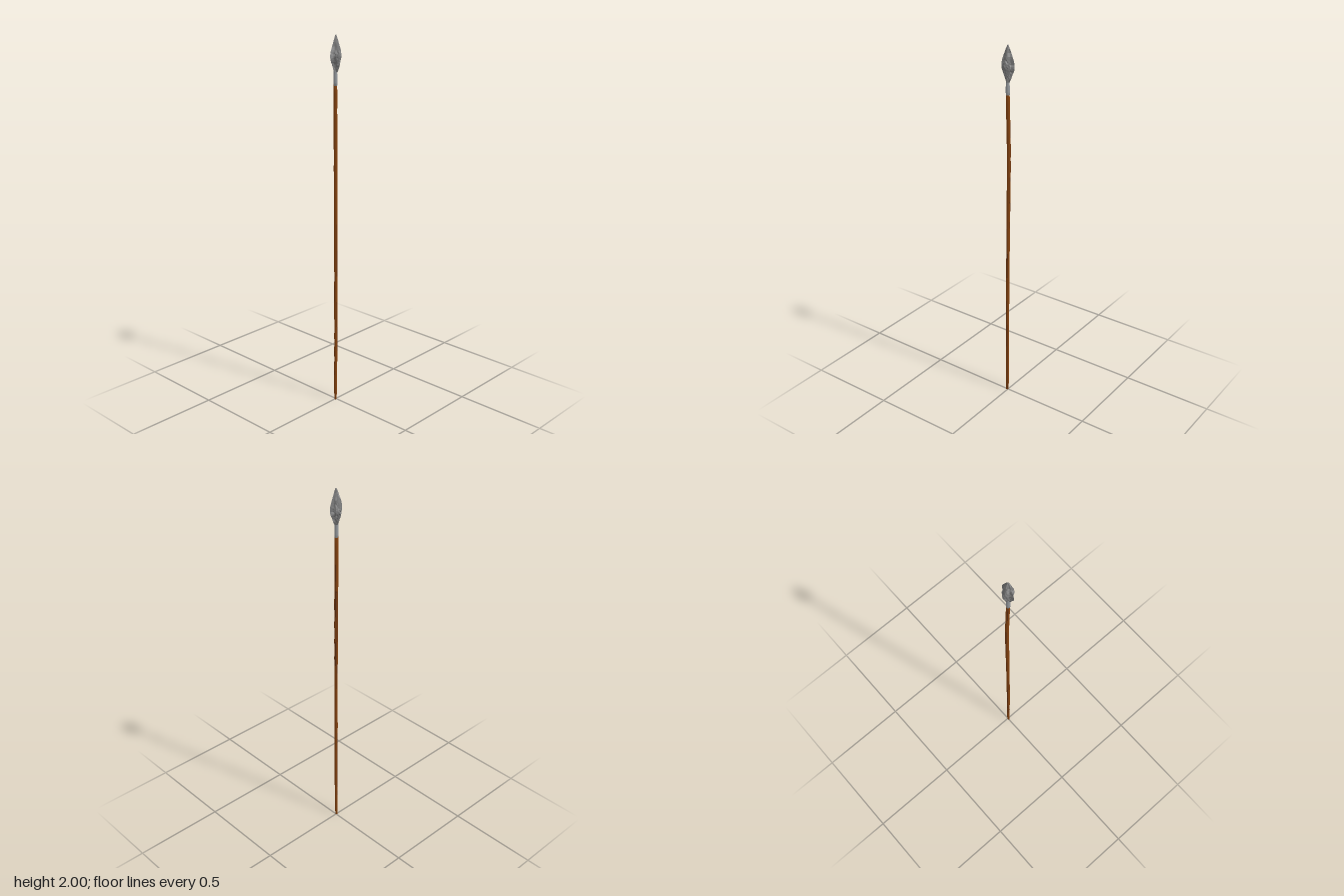
import * as THREE from 'three';

// Repeatable noise in -1..1 for chipped stone and carved wood
function noise(i, j) {
  const s = Math.sin(i * 127.1 + j * 311.7 + 4.3) * 43758.5453;
  return (s - Math.floor(s)) * 2 - 1;
}

// Linear lookup in rows of [y, v1, v2, ...]
function sample(rows, y) {
  let k = 0;
  while (k < rows.length - 2 && y > rows[k + 1][0]) k++;
  const a = rows[k], b = rows[k + 1];
  const t = THREE.MathUtils.clamp((y - a[0]) / (b[0] - a[0]), 0, 1);
  return a.map((v, i) => v + (b[i] - v) * t);
}

// Closed skin over stacked rings; point(ring, side) returns [x, y, z].
// pick(ring, side) chooses the material slot of each panel.
function loft(rings, sides, point, pick) {
  const pos = [], slots = [[], []];
  for (let i = 0; i <= rings; i++)
    for (let j = 0; j < sides; j++) pos.push(...point(i, j));
  const id = (i, j) => i * sides + (j % sides);
  for (let i = 0; i < rings; i++)
    for (let j = 0; j < sides; j++) {
      const a = id(i, j), b = id(i, j + 1), c = id(i + 1, j + 1), d = id(i + 1, j);
      slots[pick(i, j)].push(a, b, d, b, c, d);
    }
  // End caps
  for (let j = 1; j < sides - 1; j++) {
    slots[0].push(id(0, 0), id(0, j + 1), id(0, j));
    slots[0].push(id(rings, 0), id(rings, j), id(rings, j + 1));
  }
  const g = new THREE.BufferGeometry();
  g.setAttribute('position', new THREE.Float32BufferAttribute(pos, 3));
  g.setIndex([...slots[0], ...slots[1]]);
  g.addGroup(0, slots[0].length, 0);
  g.addGroup(slots[0].length, slots[1].length, 1);
  g.computeVertexNormals();
  return g;
}

function material(name, color) {
  const m = new THREE.MeshStandardMaterial({ color });
  m.name = name;
  return m;
}

export function createModel() {
  const wood = material('wood', 0x84420f);
  const darkWood = material('dark wood', 0x633010);
  const stone = material('stone', 0x7a7a7a);
  const paleStone = material('pale stone', 0x929292);
  const metal = material('socket grey', 0x969a9e);
  const model = new THREE.Group();
  model.name = 'spear';
  const add = (name, geometry, mat) => {
    const mesh = new THREE.Mesh(geometry, mat);
    mesh.name = name;
    model.add(mesh);
  };

  // Slightly crooked shaft: y, centre x, centre z, radius
  const shaftRows = [
    [0, -0.004, 0.001, 0.006], [0.04, -0.003, 0.001, 0.008], [0.4, -0.002, 0.002, 0.009],
    [0.9, 0, 0, 0.009], [1.4, 0.003, -0.004, 0.01], [1.6, 0, -0.003, 0.01], [1.755, -0.002, -0.001, 0.0095],
  ];
  const shaftRings = 36, shaftSides = 12;
  add('shaft', loft(shaftRings, shaftSides, (i, j) => {
    const y = 1.755 * i / shaftRings;
    const [, cx, cz, r0] = sample(shaftRows, y);
    const r = r0 + 0.0002 * noise(i, j);
    const a = -j / shaftSides * Math.PI * 2;
    return [
      cx + 0.0006 * noise(i, 40) + r * Math.cos(a), y,
      cz + 0.0006 * noise(i, 41) + r * Math.sin(a),
    ];
  }, (i, j) => (noise(Math.floor(i / 3) + 7, j + 3) > 0.6 ? 1 : 0)), [wood, darkWood]);

  // Socket joining shaft and head
  const socketRows = [[1.75, 0.0098], [1.78, 0.0105], [1.82, 0.009], [1.85, 0.012]];
  add('socket', loft(6, 12, (i, j) => {
    const y = 1.75 + 0.1 * i / 6;
    const r = sample(socketRows, y)[1] + 0.0002 * noise(i, j + 60);
    const a = -j / 12 * Math.PI * 2;
    return [-0.002 + r * Math.cos(a), y, -0.001 + r * Math.sin(a)];
  }, () => 0), [metal, metal]);

  // Chipped head: y, blade half-width in x, core half-depth in z
  const headRows = [
    [1.815, 0.010, 0.009], [1.835, 0.019, 0.017], [1.86, 0.029, 0.025], [1.88, 0.038, 0.029],
    [1.898, 0.041, 0.031], [1.92, 0.037, 0.026], [1.95, 0.026, 0.018], [1.98, 0.013, 0.010],
    [2, 0.003, 0.003],
  ];
  const headRings = 20, headSides = 24;
  const head = loft(headRings, headSides, (i, j) => {
    const y = 1.815 + 0.185 * i / headRings;
    const [, w, d] = sample(headRows, y);
    const a = -j / headSides * Math.PI * 2;
    const c = Math.cos(a), s = Math.sin(a);
    // Rounded core joined with a thin sharp blade along x, smoother towards the tip
    const core = 1 / Math.hypot(c / (w * 0.56), s / d);
    const blade = 1 / (Math.abs(c) / w + Math.abs(s) / (d * 0.55));
    const rough = Math.abs(c) > 0.99 || i > headRings * 0.6 ? 0.03 : 0.1;
    const r = Math.max(core, blade) * (1 + rough * noise(i, j + 90));
    return [r * c, y, r * s];
  }, (i, j) => (noise(Math.floor(i / 2) + 20, Math.floor(j / 2)) > 0.5 ? 1 : 0)).toNonIndexed();
  head.computeVertexNormals();
  add('spearhead', head, [stone, paleStone]);

  return model;
}
